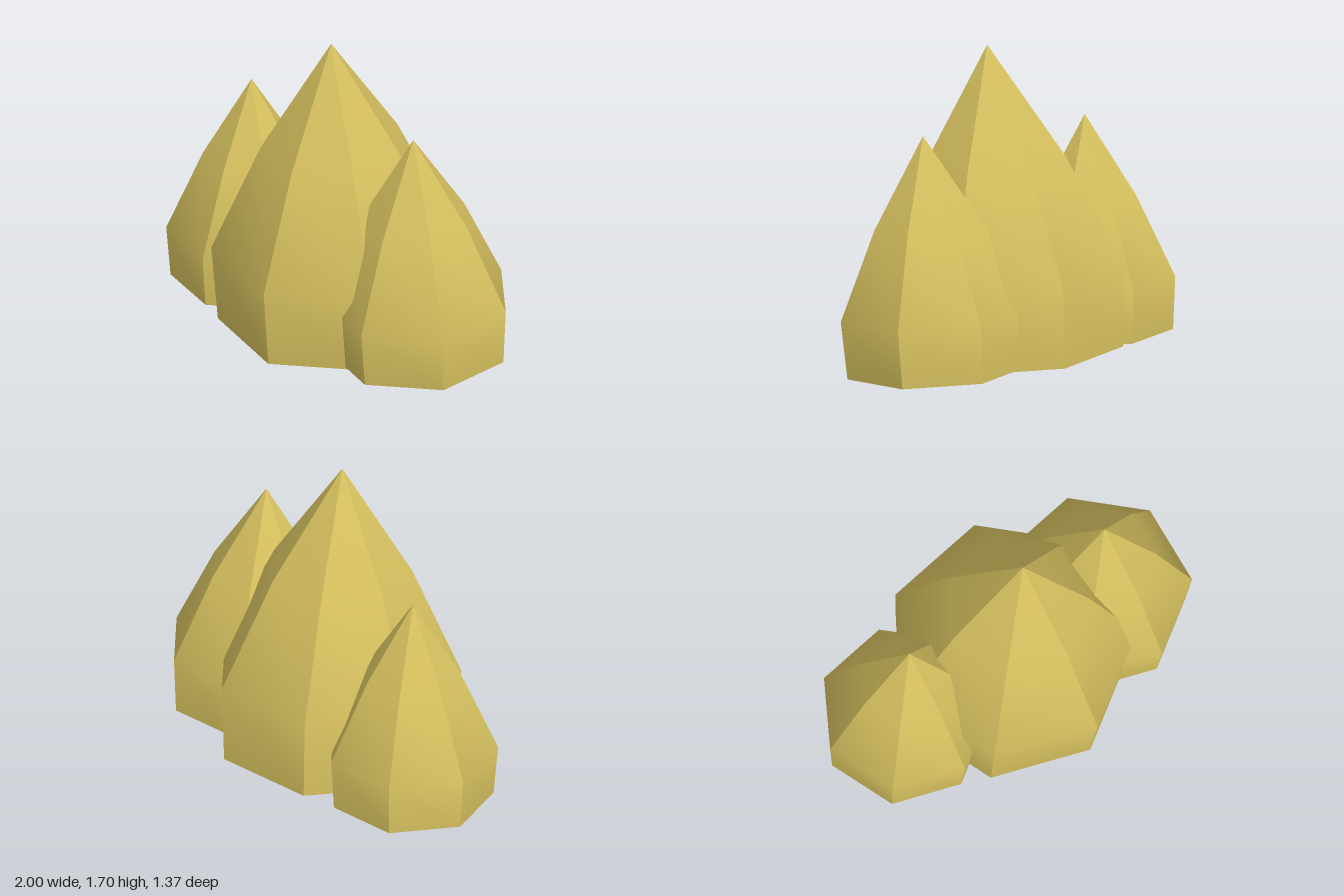
import * as THREE from 'three';
import { toCreasedNormals } from 'three/addons/utils/BufferGeometryUtils.js';

// Seven-sided pointed crystal: smooth along its height, sharp between facets
function crystal(name, material, profile, [x, z], lean) {
  const points = profile.map(([r, y]) => new THREE.Vector2(r, y));
  const lathe = new THREE.LatheGeometry(points, 7, Math.PI / 2);
  const mesh = new THREE.Mesh(toCreasedNormals(lathe, Math.PI / 5), material);
  mesh.name = name;
  mesh.position.set(x, 0, z);
  mesh.rotation.x = lean;
  return mesh;
}

export function createModel() {
  const group = new THREE.Group();
  group.name = 'crystalCluster';
  const ochre = new THREE.MeshStandardMaterial({ color: 0xd6c15f });
  ochre.name = 'ochre yellow';

  // Profiles run from base tip, rim, widest ring and shoulder to the apex
  group.add(
    crystal('middleCrystal', ochre,
      [[0, 0.005], [0.62, 0.1], [0.645, 0.525], [0.375, 1.115], [0, 1.71]], [-0.02, -0.002], 0.057),
    crystal('leftCrystal', ochre,
      [[0, 0.005], [0.475, 0.1], [0.495, 0.405], [0.287, 0.867], [0, 1.33]], [0.503, 0.178], 0.055),
    crystal('rightCrystal', ochre,
      [[0, 0.005], [0.43, 0.1], [0.449, 0.378], [0.255, 0.81], [0, 1.235]], [-0.597, -0.257], 0.028),
  );
  return group;
}
